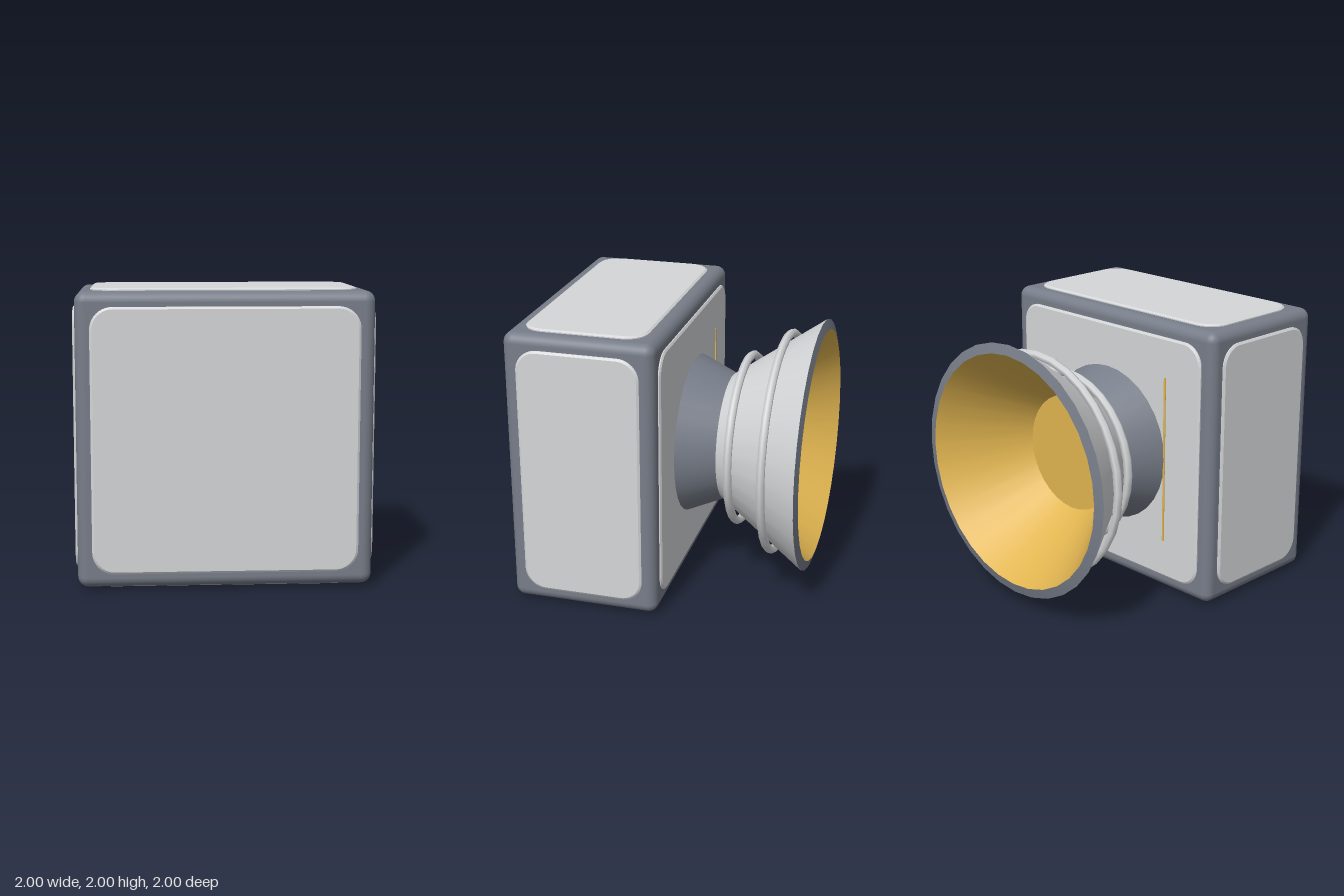
import * as THREE from 'three';
import { RoundedBoxGeometry } from 'three/addons/geometries/RoundedBoxGeometry.js';

const make = (name, color) => {
  const m = new THREE.MeshStandardMaterial({ color });
  m.name = name;
  return m;
};

export function createModel() {
  const frameGrey = make('frame grey', 0x777d89);
  const panelGrey = make('panel light grey', 0xd5d6d8);
  const gold = make('gold', 0xe0b450);
  const model = new THREE.Group();
  model.name = 'thrusterBlock';

  const add = (name, geometry, material, parent = model) => {
    const mesh = new THREE.Mesh(geometry, material);
    mesh.name = name;
    parent.add(mesh);
    return mesh;
  };

  // Rounded block
  const centre = new THREE.Vector3(0, 1, 0.46);
  add('body', new RoundedBoxGeometry(1.966, 1.966, 1.046, 4, 0.07), frameGrey).position.copy(centre);

  // Rounded plate with a small bevel, lying in xy and rising to z = 0.03
  const plate = (w, h) => {
    const r = 0.15, x = w / 2, y = h / 2;
    const s = new THREE.Shape();
    s.moveTo(-x + r, -y);
    s.lineTo(x - r, -y);
    s.absarc(x - r, -y + r, r, -Math.PI / 2, 0);
    s.lineTo(x, y - r);
    s.absarc(x - r, y - r, r, 0, Math.PI / 2);
    s.lineTo(-x + r, y);
    s.absarc(-x + r, y - r, r, Math.PI / 2, Math.PI);
    s.lineTo(-x, -y + r);
    s.absarc(-x + r, -y + r, r, Math.PI, Math.PI * 1.5);
    const g = new THREE.ExtrudeGeometry(s, {
      depth: 0.02, bevelThickness: 0.01, bevelSize: 0.015, bevelOffset: -0.015,
      bevelSegments: 1, curveSegments: 5,
    });
    return g;
  };

  // One panel on every side: [name, width, height, rotX, rotY, distance]
  const q = Math.PI / 2;
  const panels = [
    ['frontPanel', 1.77, 1.77, 0, 0, 0.54],
    ['backPanel', 1.77, 1.77, 0, Math.PI, 0.54],
    ['leftPanel', 0.85, 1.77, 0, q, 1],
    ['rightPanel', 0.85, 1.77, 0, -q, 1],
    ['topPanel', 1.77, 0.85, -q, 0, 1],
    ['bottomPanel', 1.77, 0.85, q, 0, 1],
  ];
  for (const [name, w, h, rx, ry, d] of panels) {
    const p = add(name, plate(w, h), panelGrey);
    p.rotation.set(rx, ry, 0);
    p.position.copy(new THREE.Vector3(0, 0, d - 0.03).applyEuler(p.rotation).add(centre));
  }

  // Thin gold strip on the back
  add('backStrip', new THREE.BoxGeometry(0.016, 1.21, 0.009), gold).position.set(-0.57, 1, -0.081);

  // Nozzle: each section turned separately so the edges stay crisp
  const nozzle = new THREE.Group();
  nozzle.name = 'nozzle';
  nozzle.position.y = 1;
  model.add(nozzle);
  const turned = (name, material, r0, d0, r1, d1) => {
    const g = new THREE.LatheGeometry([new THREE.Vector2(r0, d0), new THREE.Vector2(r1, d1)], 32);
    add(name, g.rotateX(-q), material, nozzle);
  };
  turned('throat', frameGrey, 0.58, 0.06, 0.455, 0.345);
  turned('bell', panelGrey, 0.455, 0.345, 0.9, 0.98);
  turned('bellRim', frameGrey, 0.9, 0.98, 0.83, 1);
  turned('bellLining', gold, 0.83, 1, 0.42, 0.43);
  turned('bellFloor', gold, 0.42, 0.43, 0, 0.43);

  // Hoops around the bell
  for (const [name, radius, z] of [['innerHoop', 0.6, -0.463], ['outerHoop', 0.779, -0.733]]) {
    add(name, new THREE.TorusGeometry(radius, 0.03, 6, 32), panelGrey, nozzle).position.z = z;
  }

  return model;
}
